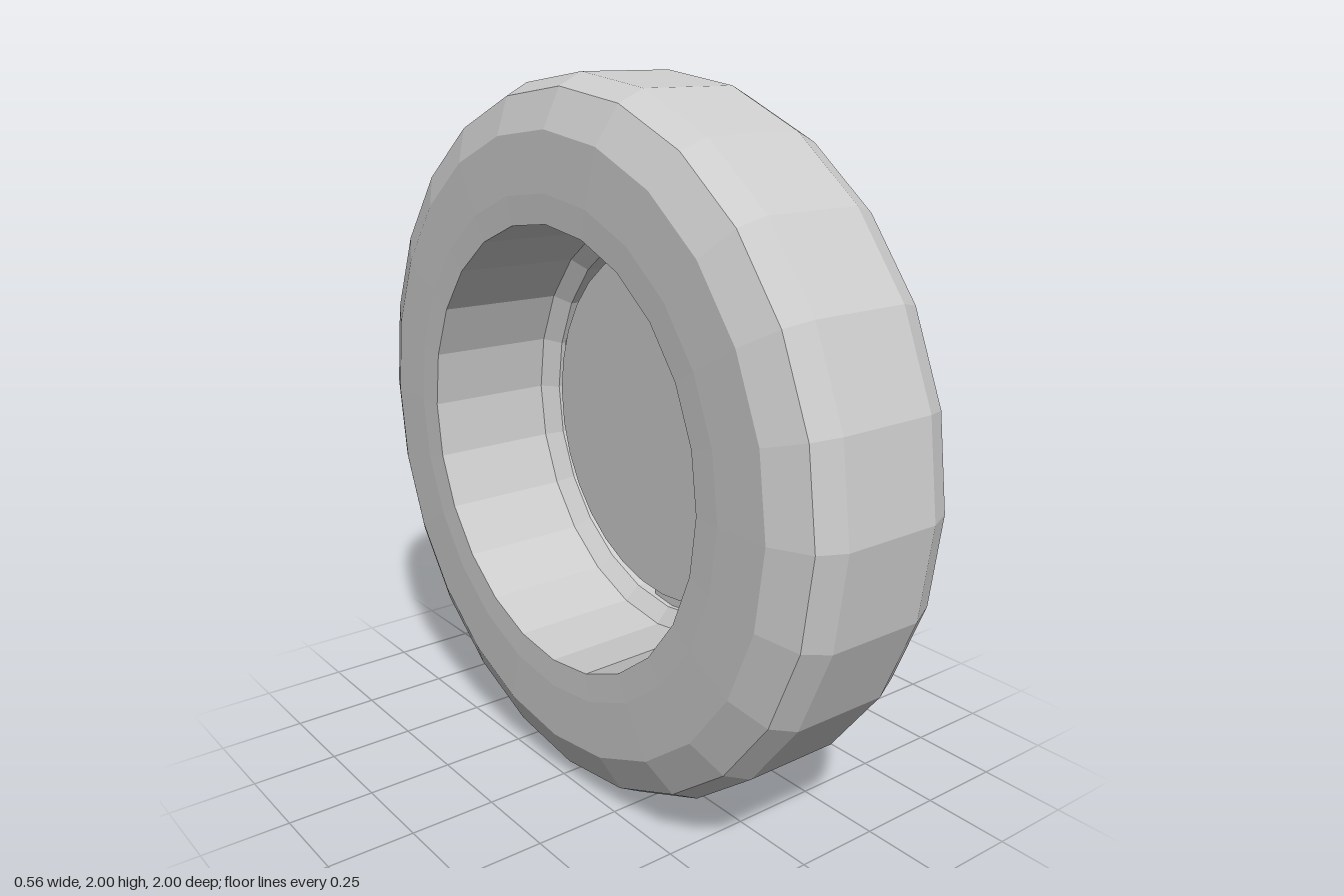
import * as THREE from 'three';

const grey = new THREE.MeshStandardMaterial({ color: 0xcccccc });
grey.name = 'plain grey';

// Faceted mesh: every face keeps its own normal
function part(name, geometry, parent) {
  const geo = geometry.index ? geometry.toNonIndexed() : geometry;
  geo.computeVertexNormals();
  const mesh = new THREE.Mesh(geo, grey);
  mesh.name = name;
  parent.add(mesh);
  return mesh;
}

// Turned ring about the x axis, profile given as [radius, x]
function turned(name, profile, parent) {
  const points = profile.map(([r, x]) => new THREE.Vector2(r, x));
  return part(name, new THREE.LatheGeometry(points, 24).rotateZ(-Math.PI / 2), parent);
}

// Cylinder along x between x0 and x1
function disc(name, radius, x0, x1, sides, parent, y = 0, z = 0) {
  const geo = new THREE.CylinderGeometry(radius, radius, x1 - x0, sides);
  geo.rotateZ(-Math.PI / 2).translate((x0 + x1) / 2, y, z);
  return part(name, geo, parent);
}

// Grooved spoke: cross-section at a radius, as [x, y, z] points
function spokeSection(radius, half, groove, front, depth, back) {
  return [
    [front, half], [front, groove], [front - depth, 0], [front, -groove],
    [front, -half], [back, -half], [back, half],
  ].map(([x, z]) => [x, radius, z]);
}

function spokeGeometry() {
  const a = spokeSection(0.12, 0.036, 0.014, 0.254, 0.02, 0.16);
  const b = spokeSection(0.578, 0.084, 0.042, 0.234, 0.05, 0.155);
  const positions = [];
  a.forEach((p, i) => {
    const j = (i + 1) % a.length;
    positions.push(...p, ...a[j], ...b[j], ...p, ...b[j], ...b[i]);
  });
  const geo = new THREE.BufferGeometry();
  geo.setAttribute('position', new THREE.Float32BufferAttribute(positions, 3));
  return geo;
}

export function createModel() {
  const model = new THREE.Group();
  model.name = 'wheel';
  const wheel = new THREE.Group();
  wheel.name = 'wheelAssembly';
  wheel.position.y = 1;
  model.add(wheel);

  // Tyre with bevelled shoulders
  turned('tyre', [
    [0.62, -0.28], [0.7, -0.283], [0.86, -0.28], [0.965, -0.23], [1, -0.16],
    [1, 0.125], [0.965, 0.2], [0.86, 0.245], [0.64, 0.25], [0.595, 0.257],
  ], wheel);

  // Rim lip and open barrel
  turned('rim', [
    [0.595, 0.257], [0.57, 0.215], [0.57, 0.14], [0.615, 0.1], [0.62, -0.28],
  ], wheel);

  // Back plate and hub
  disc('backPlate', 0.525, 0.12, 0.14, 32, wheel);
  disc('hub', 0.155, 0.14, 0.256, 28, wheel);
  disc('hubCap', 0.09, 0.25, 0.262, 24, wheel);

  // Seven grooved spokes, one pointing straight down
  for (let i = 0; i < 7; i++) {
    const spoke = part('spoke', spokeGeometry(), wheel);
    spoke.rotation.x = Math.PI + (i * Math.PI * 2) / 7;
  }

  // Four wheel nuts
  for (const y of [-0.087, 0.087]) {
    for (const z of [-0.087, 0.087]) disc('wheelNut', 0.019, 0.25, 0.268, 8, wheel, y, z);
  }

  // Valve in the lowest spoke
  disc('valveStem', 0.01, 0.18, 0.262, 8, wheel, -0.54, 0);
  disc('valveCap', 0.015, 0.26, 0.282, 8, wheel, -0.54, 0);

  return model;
}
